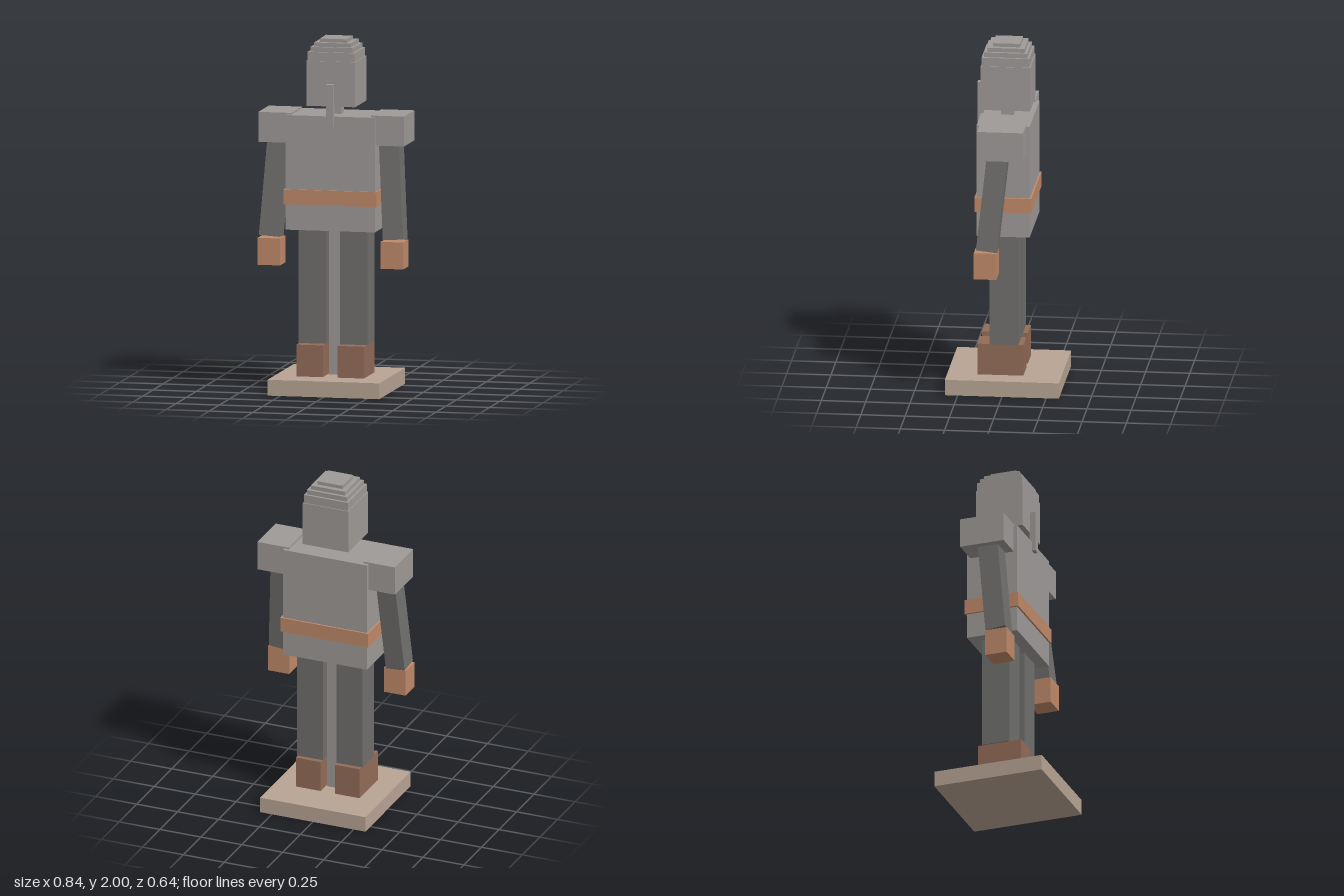
import * as THREE from 'three';

const mat = (color) => new THREE.MeshStandardMaterial({ color, flatShading: true });

export function createModel() {
  const model = new THREE.Group();
  model.name = 'blockFigure';

  const steel = mat(0x9e9a98);
  const cloth = mat(0x706f6d);
  const leather = mat(0xc08a6a);
  const boot = mat(0x936c58);
  const wood = mat(0xb8a494);

  // Box given by its extents on each axis
  const block = (name, material, [x0, x1], [y0, y1], [z0, z1], parent = model) => {
    const mesh = new THREE.Mesh(new THREE.BoxGeometry(x1 - x0, y1 - y0, z1 - z0), material);
    mesh.name = name;
    mesh.position.set((x0 + x1) / 2, (y0 + y1) / 2, (z0 + z1) / 2);
    parent.add(mesh);
    return mesh;
  };

  // Stand and the post that runs up through the body to the neck
  block('base', wood, [-0.322, 0.322], [0, 0.09], [-0.322, 0.322]);
  block('supportPost', steel, [-0.035, 0.035], [0.09, 1.64], [-0.035, 0.035]);

  // Body
  block('torso', steel, [-0.257, 0.257], [0.92, 1.57], [-0.15, 0.15]);
  block('belt', leather, [-0.268, 0.268], [1.065, 1.15], [-0.16, 0.16]);

  // Helmet: a block capped by shrinking steps
  const helmet = new THREE.Group();
  helmet.name = 'helmet';
  model.add(helmet);
  let bottom = 1.625;
  [[0.14, 1.88], [0.135, 1.93], [0.122, 1.957], [0.105, 1.98], [0.077, 2]].forEach(([half, top], i) => {
    block(i ? 'helmetStep' : 'head', steel, [-half, half], [bottom, top], [-half, half], helmet);
    bottom = top;
  });
  block('facePiece', steel, [-0.02, 0.02], [1.515, 1.752], [0.137, 0.171]);

  // Limbs, mirrored left and right
  for (const side of [1, -1]) {
    const label = side > 0 ? 'left' : 'right';
    const span = (a, b) => (side > 0 ? [a, b] : [-b, -a]);
    block(label + 'Boot', boot, span(0.043, 0.195), [0.09, 0.27], [-0.108, 0.152]);
    block(label + 'Leg', cloth, span(0.04, 0.2), [0.27, 0.92], [-0.08, 0.083]);
    block(label + 'Shoulder', steel, span(0.229, 0.42), [1.41, 1.58], [-0.13, 0.13]);
    block(label + 'Hand', leather, span(0.29, 0.42), [0.715, 0.868], [0.02, 0.148]);

    // Arm leans outward and forward towards the hand
    const arm = block(label + 'Arm', cloth, [-0.058, 0.058], [-0.315, 0.315], [-0.059, 0.059]);
    arm.position.set(side * 0.337, 1.186, 0.045);
    arm.rotation.set(-0.106, 0, side * 0.065);
  }

  return model;
}
